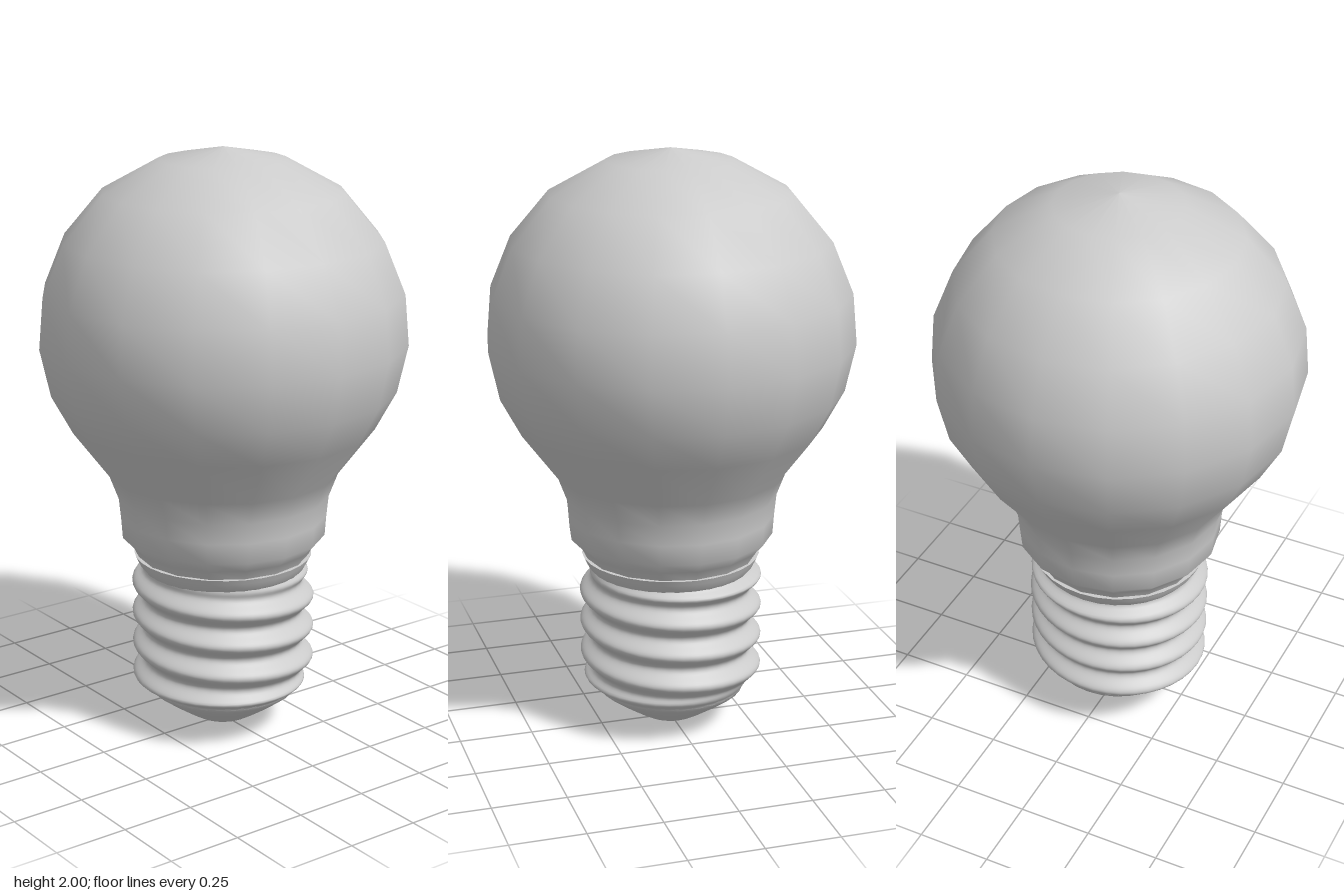
import * as THREE from 'three';
import { mergeVertices } from 'three/addons/utils/BufferGeometryUtils.js';

const material = new THREE.MeshStandardMaterial({ color: 0xcccccc, side: THREE.DoubleSide });

// Smooth surface of revolution from [radius, height] pairs, bottom to top
function lathe(name, profile, sides) {
  const points = profile.map(([r, y]) => new THREE.Vector2(r, y));
  const mesh = new THREE.Mesh(new THREE.LatheGeometry(points, sides), material);
  mesh.name = name;
  return mesh;
}

// Screw sleeve: a lathe whose radius swells along a helix
function screwThread() {
  const bottom = 0.13, top = 0.585, rows = 72, pitch = 0.11, core = 0.273, depth = 0.039;
  const points = [];
  for (let i = 0; i <= rows; i++) {
    points.push(new THREE.Vector2(core, bottom + (top - bottom) * i / rows));
  }
  let geometry = new THREE.LatheGeometry(points, 40);
  const pos = geometry.attributes.position;
  for (let i = 0; i < pos.count; i++) {
    const x = pos.getX(i), y = pos.getY(i), z = pos.getZ(i);
    const turn = (y - 0.4775) / pitch + Math.atan2(x, z) / (2 * Math.PI);
    const ridge = 0.5 + 0.5 * Math.cos(2 * Math.PI * turn);
    // The ridge runs out at both ends of the sleeve
    const fade = THREE.MathUtils.smoothstep(y, 0.13, 0.18) * (1 - THREE.MathUtils.smoothstep(y, 0.535, 0.575));
    const taper = 0.02 * (1 - THREE.MathUtils.smoothstep(y, 0.13, 0.17));
    const scale = (core - taper + depth * ridge * fade) / core;
    pos.setXYZ(i, x * scale, y, z * scale);
  }
  // Weld the seam so the normals run smoothly around
  geometry.deleteAttribute('uv');
  geometry.deleteAttribute('normal');
  geometry = mergeVertices(geometry, 1e-5);
  geometry.computeVertexNormals();
  const mesh = new THREE.Mesh(geometry, material);
  mesh.name = 'screwThread';
  return mesh;
}

export function createModel() {
  const bulb = new THREE.Group();
  bulb.name = 'lightBulb';

  // Glass envelope
  bulb.add(lathe('glass', [
    [0.29, 0.61], [0.31, 0.65], [0.348, 0.69], [0.353, 0.76], [0.36, 0.83], [0.39, 0.91],
    [0.51, 1.07], [0.58, 1.2], [0.615, 1.36], [0.6, 1.53], [0.53, 1.7],
    [0.4, 1.855], [0.21, 1.96], [0, 2],
  ], 16));

  // Metal base: flared collar with its rim, thread, insulator and contact
  bulb.add(lathe('collar', [[0.273, 0.565], [0.285, 0.58], [0.295, 0.6], [0.303, 0.617]], 32));
  bulb.add(lathe('collarRim', [[0.303, 0.617], [0.27, 0.617]], 32));
  bulb.add(screwThread());
  bulb.add(lathe('insulator', [[0.13, 0.038], [0.19, 0.078], [0.25, 0.122], [0.258, 0.142]], 32));
  bulb.add(lathe('contact', [[0, 0], [0.07, 0.006], [0.1, 0.02], [0.132, 0.042]], 32));

  return bulb;
}
